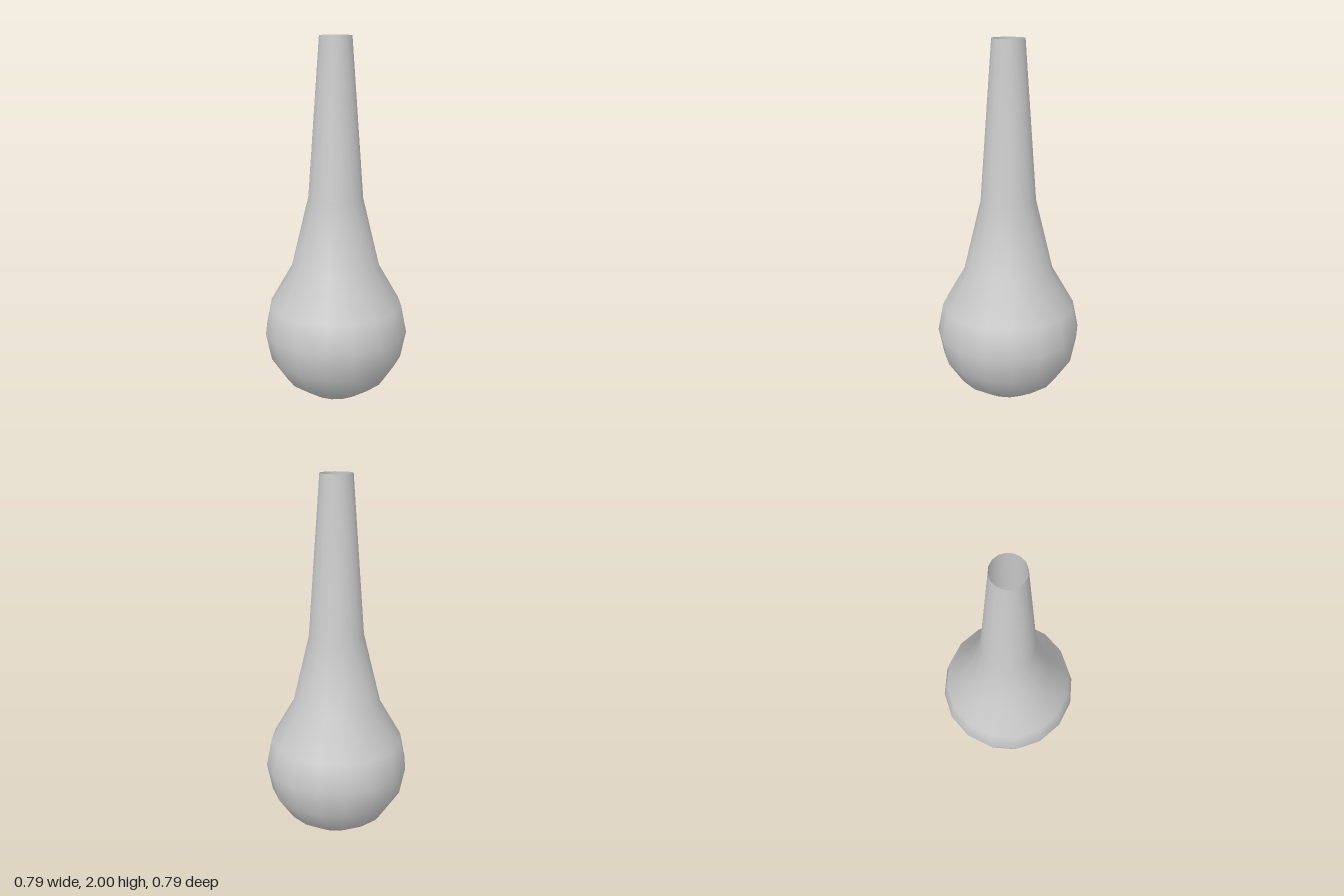
import * as THREE from 'three';

export function createModel() {
  const group = new THREE.Group();
  const material = new THREE.MeshStandardMaterial({ color: 0xcccccc, side: THREE.DoubleSide });

  // Round bulb: a sphere profile from the bottom pole to just above the equator
  const sides = 16, radius = 0.397;
  const profile = [];
  for (let i = 0; i <= 5; i++) {
    const a = (i * Math.PI) / 8;
    profile.push(new THREE.Vector2(radius * Math.sin(a), radius * (1 - Math.cos(a))));
  }
  // Shoulder and tapering neck, open at the rim
  profile.push(
    new THREE.Vector2(0.245, 0.76),
    new THREE.Vector2(0.15, 1.15),
    new THREE.Vector2(0.087, 2)
  );

  const vase = new THREE.Mesh(new THREE.LatheGeometry(profile, sides), material);
  vase.name = 'bulbAndNeck';
  group.add(vase);
  return group;
}
